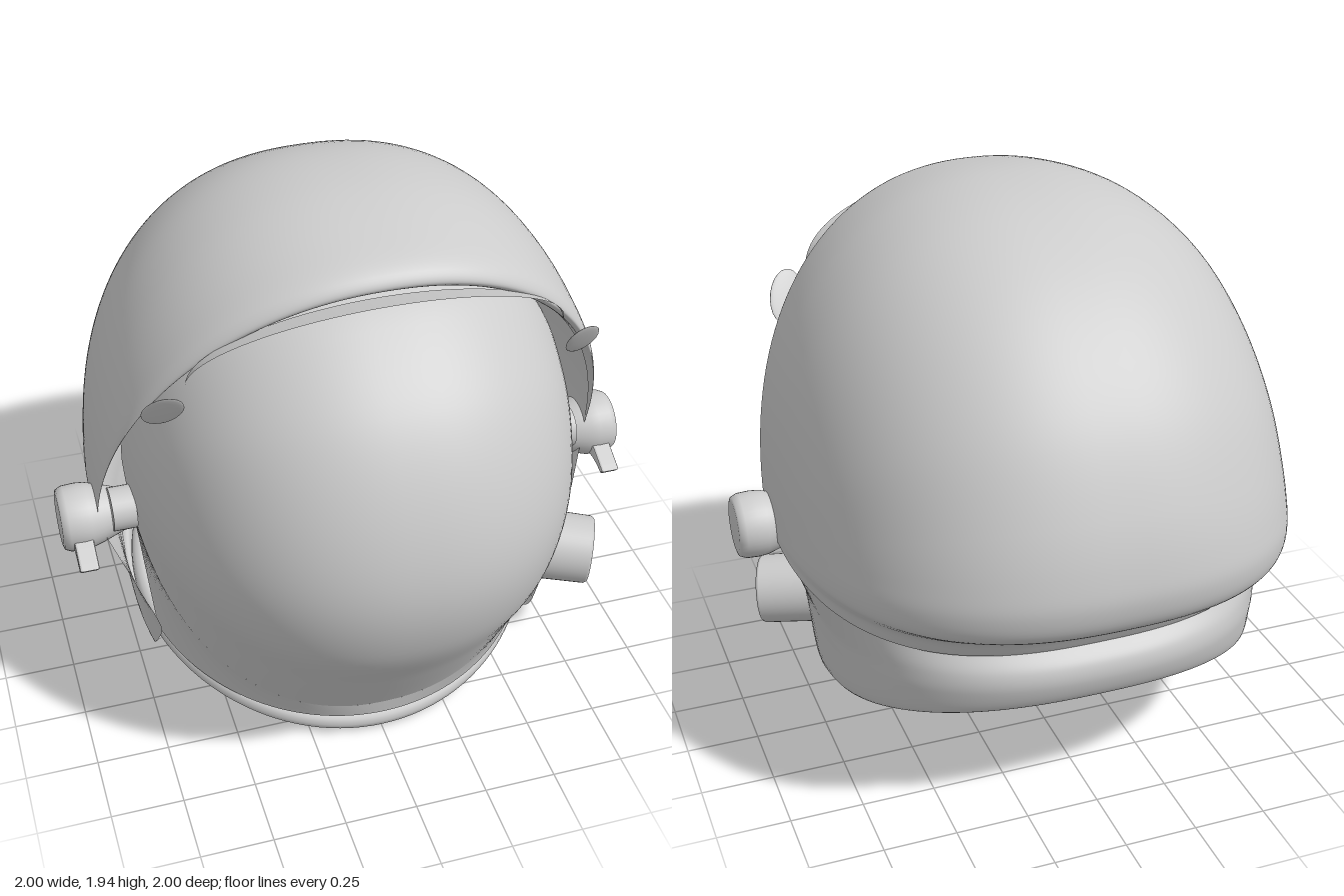
import * as THREE from 'three';
import { mergeVertices } from 'three/addons/utils/BufferGeometryUtils.js';
import { ParametricGeometry } from 'three/addons/geometries/ParametricGeometry.js';

const spow = (v, n) => Math.sign(v) * Math.pow(Math.abs(v), 2 / n);
const lerp = THREE.MathUtils.lerp;

// smooth surface from a rule f(u, v, target)
function sheet(f, nu, nv) {
  const g = new ParametricGeometry(f, nu, nv);
  g.deleteAttribute('uv');
  g.deleteAttribute('normal');
  const m = mergeVertices(g, 1e-4);
  m.computeVertexNormals();
  return m;
}

// side profile [z, y] as a smooth curve
const profile = (pts) => new THREE.CatmullRomCurve3(pts.map(([z, y]) => new THREE.Vector3(0, y, z)), false, 'centripetal');

// point on an arch that runs from ear to ear through the profile point p
function archPoint(p, pole, width, n, a, t) {
  const r = spow(Math.max(0, Math.sin(a)), n);
  return t.set(width * spow(Math.cos(a), n), lerp(pole[1], p.y, r), lerp(pole[0], p.z, r));
}

// surface made of arches that all meet at two side poles
function archSheet(pts, pole, width, n0, n1, nu = 72, nv = 60) {
  const c = profile(pts);
  return sheet((u, v, t) => archPoint(c.getPoint(v), pole, width, lerp(n0, n1, v), u * Math.PI, t), nu, nv);
}

export function createModel() {
  const model = new THREE.Group();
  model.name = 'helmet';
  const grey = new THREE.MeshStandardMaterial({ color: 0xcccccc, side: THREE.DoubleSide });
  grey.name = 'light grey';
  const add = (name, geometry, parent = model) => {
    const m = new THREE.Mesh(geometry, grey);
    m.name = name;
    parent.add(m);
    return m;
  };

  // dome, from the rolled front lip over the top to the groove at the nape
  add('dome', archSheet([
    [0.46, 1.79], [0.555, 1.805], [0.583, 1.83], [0.555, 1.87], [0.4, 1.917], [0.14, 1.95], [-0.15, 1.918],
    [-0.4, 1.81], [-0.61, 1.655], [-0.8, 1.44], [-0.93, 1.19], [-0.985, 1.02], [-0.997, 0.92], [-0.97, 0.83],
    [-0.88, 0.77], [-0.8, 0.72], [-0.755, 0.65],
  ], [0.17, 0.8], 0.877, 2.1, 2.65, 80, 96));

  // clear bubble at the front
  const bubblePole = [0.05, 0.95];
  const bubbleEdge = new THREE.Vector3(0, 0.17, 0.65);
  add('bubble', archSheet([
    [0.05, 1.755], [0.3, 1.765], [0.45, 1.74], [0.57, 1.68], [0.8, 1.48], [0.95, 1.2], [1, 0.93], [0.95, 0.68], [0.8, 0.42], [0.65, 0.17],
  ], bubblePole, 0.76, 2.3, 2.2));

  // skirt between the bubble's lower edge and the neck ring
  const low = new THREE.Vector3();
  add('skirt', sheet((u, v, t) => {
    archPoint(bubbleEdge, bubblePole, 0.76, 2.2, u * Math.PI, t);
    const a = lerp(0.3, Math.PI - 0.3, u);
    const z = -0.06 + 0.7 * Math.sin(a);
    t.lerp(low.set(0.73 * Math.cos(a), 0.305 - 0.305 * z, z), v);
  }, 60, 8));

  // crescent edge of the retracted shade, under the lip
  add('shade', archSheet([[0.53, 1.77], [0.635, 1.802]], [0.5, 1.55], 0.61, 2, 2, 40, 4));

  // collar: stacked open rings [back z, back y, front z, front y, centre z, half width, right side trim]
  const rows = [
    [-0.755, 0.65, 0.2, 0.805, 0.17, 0.872, 1],
    [-0.8, 0.6, 0.34, 0.58, 0.02, 0.795, 0.97],
    [-0.808, 0.54, 0.45, 0.4, -0.05, 0.765, 0.9],
    [-0.772, 0.46, 0.31, 0.15, -0.09, 0.735, 0.88],
    [-0.72, 0.47, 0.29, 0.17, -0.08, 0.69, 0.88],
  ];
  const rowPoint = ([zb, yb, zf, yf, zc, w, trim], s) => {
    const n = 2.5, len = zc - zb;
    const end = Math.acos(-Math.pow((zf - zc) / len, n / 2));
    const a = s * end * (s < 0 ? trim : 1);
    const z = zc - len * spow(Math.cos(a), n);
    return new THREE.Vector3(w * spow(Math.sin(a), n), lerp(yb, yf, (z - zb) / (zf - zb)), z);
  };
  const columns = [...Array(81)].map((_, i) =>
    new THREE.CatmullRomCurve3(rows.map((r) => rowPoint(r, i / 40 - 1)), false, 'centripetal'));
  add('collar', sheet((u, v, t) => t.copy(columns[Math.round(u * 80)].getPoint(v)), 80, 32));

  // tilted neck ring that dips at the chin, with a thin inner rim
  const ring = (w, len, lift) => new THREE.CatmullRomCurve3([...Array(48)].map((_, i) => {
    const a = (i / 48) * Math.PI * 2;
    const z = -0.065 + len * Math.cos(a);
    const dip = 0.14 * Math.max(0, z) ** 2;
    return new THREE.Vector3(w * Math.sin(a), 0.28 + lift - 0.308 * z - dip, z);
  }), true);
  add('neckRing', new THREE.TubeGeometry(ring(0.695, 0.655, 0), 120, 0.04, 12, true));
  add('neckRim', new THREE.TubeGeometry(ring(0.665, 0.63, 0.04), 120, 0.015, 8, true));

  // parts on both sides
  for (const side of [1, -1]) {
    const g = new THREE.Group();
    g.name = side > 0 ? 'leftSide' : 'rightSide';
    g.scale.x = side;
    model.add(g);

    // pivot knob with rounded rim
    const knob = add('pivotKnob', new THREE.LatheGeometry([
      [0, 0], [0.07, 0], [0.075, 0.03], [0.1, 0.1], [0.112, 0.14], [0.115, 0.17], [0.113, 0.215], [0.103, 0.236], [0.09, 0.24], [0, 0.24],
    ].map(([r, h]) => new THREE.Vector2(r, h)), 36), g);
    knob.rotation.z = -Math.PI / 2;
    knob.position.set(0.76, 0.805, 0.12);

    // lever on the knob
    const lever = new THREE.Shape();
    lever.moveTo(0.1, 0.84);
    lever.quadraticCurveTo(0.22, 0.785, 0.318, 0.735);
    lever.lineTo(0.31, 0.727);
    lever.quadraticCurveTo(0.2, 0.765, 0.13, 0.7);
    const leverGeo = new THREE.ExtrudeGeometry(lever, { depth: 0.05, bevelEnabled: true, bevelSize: 0.006, bevelThickness: 0.008, bevelSegments: 2 });
    const leverMesh = add('knobLever', leverGeo, g);
    leverMesh.rotation.y = -Math.PI / 2;
    leverMesh.position.x = 0.96;

    // inner hinge disc
    const hinge = add('hinge', new THREE.CylinderGeometry(0.075, 0.075, 0.08, 28), g);
    hinge.rotation.z = Math.PI / 2;
    hinge.position.set(0.79, 0.85, 0.17);

    // shade pull tab, leaning forward
    const tab = add('shadeTab', new THREE.SphereGeometry(1, 20, 12), g);
    tab.scale.set(0.06, 0.1, 0.008);
    tab.position.set(0.685, 1.465, 0.5);
    tab.rotation.set(0.55, 0.2, 0.3);
  }

  // hose port on the left cheek, with a recessed end
  const port = add('hosePort', new THREE.LatheGeometry([
    [0.135, 0], [0.128, 0.1], [0.124, 0.32], [0.118, 0.33], [0.108, 0.33], [0.105, 0.322], [0, 0.322],
  ].map(([r, h]) => new THREE.Vector2(r, h)), 40));
  const axis = new THREE.Vector3(0.92, -0.08, 0.38).normalize();
  port.quaternion.setFromUnitVectors(new THREE.Vector3(0, 1, 0), axis);
  port.position.set(0.875, 0.4, 0.35).addScaledVector(axis, -0.33);

  // leaf-shaped flap hanging into the neck opening
  const leaf = new THREE.Shape();
  leaf.moveTo(-0.13, 0);
  leaf.quadraticCurveTo(-0.13, 0.18, 0.03, 0.3);
  leaf.quadraticCurveTo(0.13, 0.18, 0.13, 0);
  const flap = add('neckFlap', new THREE.ShapeGeometry(leaf, 10)
    .rotateX(-Math.PI / 2).rotateY(-Math.PI / 2).rotateZ(-0.28).rotateX(0.3));
  flap.position.set(-0.66, 0.36, -0.37);

  return model;
}
